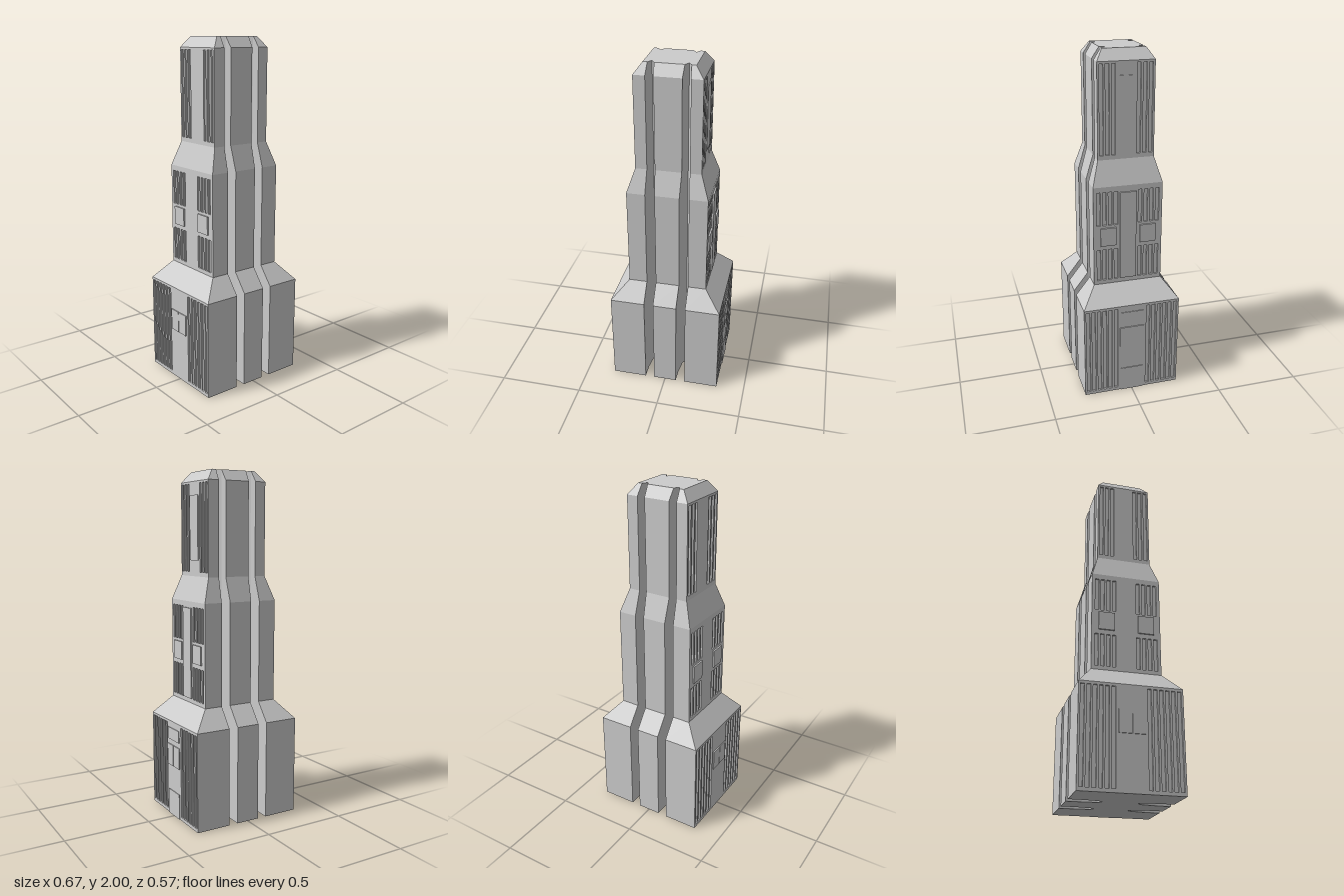
import * as THREE from 'three';
import { mergeGeometries } from 'three/addons/utils/BufferGeometryUtils.js';

const grey = new THREE.MeshStandardMaterial({ color: 0xcccccc, flatShading: true });

// Height, half width and half depth of the tower at each change of slope
const LEVELS = [
  [0, 0.33, 0.285], [0.57, 0.33, 0.285],
  [0.68, 0.232, 0.2], [1.27, 0.232, 0.2],
  [1.41, 0.186, 0.16], [1.94, 0.186, 0.16],
  [2, 0.14, 0.121],
];
const NOTCH_X = 0.0975;
const NOTCH_TIP = 0.092;
const GROOVE_DEPTH = 0.01;

// Half width of a vertical notch at depth z
function notchHalf(z) {
  if (z <= NOTCH_TIP) return 0;
  return 0.0275 - 0.01 * Math.min(1, Math.max(0, (0.2 - z) / 0.08));
}

// Plan outline: a rectangle with two notches in the front and two in the back
function outline([y, w, d]) {
  const front = [[-w, d]];
  for (const cx of [-NOTCH_X, NOTCH_X]) {
    const zs = [0.285, 0.2, 0.12, NOTCH_TIP];
    for (const z of zs) front.push([cx - notchHalf(Math.min(z, d)), Math.min(z, d)]);
    for (const z of zs.slice(0, 3).reverse()) front.push([cx + notchHalf(Math.min(z, d)), Math.min(z, d)]);
  }
  front.push([w, d]);
  const back = front.map(([x, z]) => [-x, -z]);
  return [...front, ...back].map(([x, z]) => new THREE.Vector3(x, y, z));
}

function towerGeometry() {
  const rings = LEVELS.map(outline);
  const n = rings[0].length;
  const pos = [];
  const tri = new THREE.Triangle();
  const add = (a, b, c) => {
    tri.set(a, b, c);
    if (tri.getArea() > 1e-8) pos.push(...a, ...b, ...c);
  };
  for (let k = 0; k < rings.length - 1; k++) {
    const lo = rings[k], hi = rings[k + 1];
    for (let i = 0; i < n; i++) {
      // upright side walls are made separately, with their grooves
      if (k % 2 === 0 && i % (n / 2) === n / 2 - 1) continue;
      const j = (i + 1) % n;
      add(lo[i], lo[j], hi[j]);
      add(lo[i], hi[j], hi[i]);
    }
  }
  // Roof and underside
  const cap = (ring, up) => {
    const flat = ring.map((p) => new THREE.Vector2(p.x, -p.z));
    for (const [a, b, c] of THREE.ShapeUtils.triangulateShape(flat, [])) {
      if (up) add(ring[a], ring[b], ring[c]);
      else add(ring[a], ring[c], ring[b]);
    }
  };
  cap(rings[0], false);
  cap(rings[rings.length - 1], true);
  const g = new THREE.BufferGeometry();
  g.setAttribute('position', new THREE.Float32BufferAttribute(pos, 3));
  g.computeVertexNormals();
  return g;
}

// Inward-facing box, open towards +x
function grooveGeometry(x, y0, y1, z, w) {
  const g = new THREE.BoxGeometry(GROOVE_DEPTH, y1 - y0, w);
  const idx = Array.from(g.index.array).slice(6);
  for (let i = 0; i < idx.length; i += 3) [idx[i], idx[i + 1]] = [idx[i + 1], idx[i]];
  g.setIndex(idx);
  g.translate(x - GROOVE_DEPTH / 2, (y0 + y1) / 2, z);
  const out = g.toNonIndexed();
  out.computeVertexNormals();
  return out;
}

function rectPath(Type, z0, z1, y0, y1) {
  return new Type([[z0, y0], [z1, y0], [z1, y1], [z0, y1]].map(([z, y]) => new THREE.Vector2(z, y)));
}

// Upright wall facing +x with mirrored rows of vertical grooves
function grooveWall(level, centres, spans) {
  const [y0, x, d] = LEVELS[level];
  const y1 = LEVELS[level + 1][0];
  const w = 0.021;
  const wall = rectPath(THREE.Shape, -d, d, y0, y1);
  const parts = [];
  for (const [a, b] of spans) {
    for (const c of centres) {
      for (const z of [c, -c]) {
        wall.holes.push(rectPath(THREE.Path, z - w / 2, z + w / 2, a, b));
        parts.push(grooveGeometry(x, a, b, z, w));
      }
    }
  }
  const face = new THREE.ShapeGeometry(wall).rotateY(Math.PI / 2).translate(x, 0, 0);
  parts.push(face.toNonIndexed());
  return mergeGeometries(parts);
}

const row = (first, step, count) => Array.from({ length: count }, (_, i) => first + step * i);

export function createModel() {
  const model = new THREE.Group();
  const addMesh = (parent, name, geometry) => {
    const mesh = new THREE.Mesh(geometry, grey);
    mesh.name = name;
    parent.add(mesh);
  };
  // Thin raised panel on a +x wall
  const panel = (parent, name, x, y0, y1, z, w, t) => {
    const g = new THREE.BoxGeometry(t + 0.002, y1 - y0, w);
    addMesh(parent, name, g.translate(x + t / 2 - 0.001, (y0 + y1) / 2, z));
  };

  addMesh(model, 'towerBody', towerGeometry());

  const walls = {
    lowerGroovedWall: grooveWall(0, row(0.097, 0.0332, 6), [[0.02, 0.555]]),
    middleGroovedWall: grooveWall(2, row(0.07, 0.0335, 4), [[0.703, 0.894], [1.042, 1.239]]),
    upperGroovedWall: grooveWall(4, row(0.071, 0.0335, 3), [[1.435, 1.928]]),
  };

  for (const side of ['left', 'right']) {
    const group = new THREE.Group();
    group.name = side + 'Side';
    if (side === 'right') group.rotation.y = Math.PI;
    for (const [name, geometry] of Object.entries(walls)) addMesh(group, name, geometry);
    // Pairs found on both sides
    for (const s of [-1, 1]) {
      panel(group, 'middleWindow', 0.232, 0.92, 1.027, s * 0.115, 0.092, 0.009);
      panel(group, 'lowerWindowPane', 0.33, 0.305, 0.43, s * 0.037, 0.07, 0.006);
    }
    // Entrance side only
    if (side === 'left') {
      panel(group, 'door', 0.33, 0, 0.15, 0, 0.135, 0.004);
      panel(group, 'signPanel', 0.33, 0.46, 0.53, 0, 0.135, 0.004);
      panel(group, 'middlePanel', 0.232, 0.708, 1.233, 0, 0.093, 0.009);
      panel(group, 'upperPanel', 0.186, 1.5, 1.865, 0, 0.094, 0.005);
    }
    model.add(group);
  }
  return model;
}
